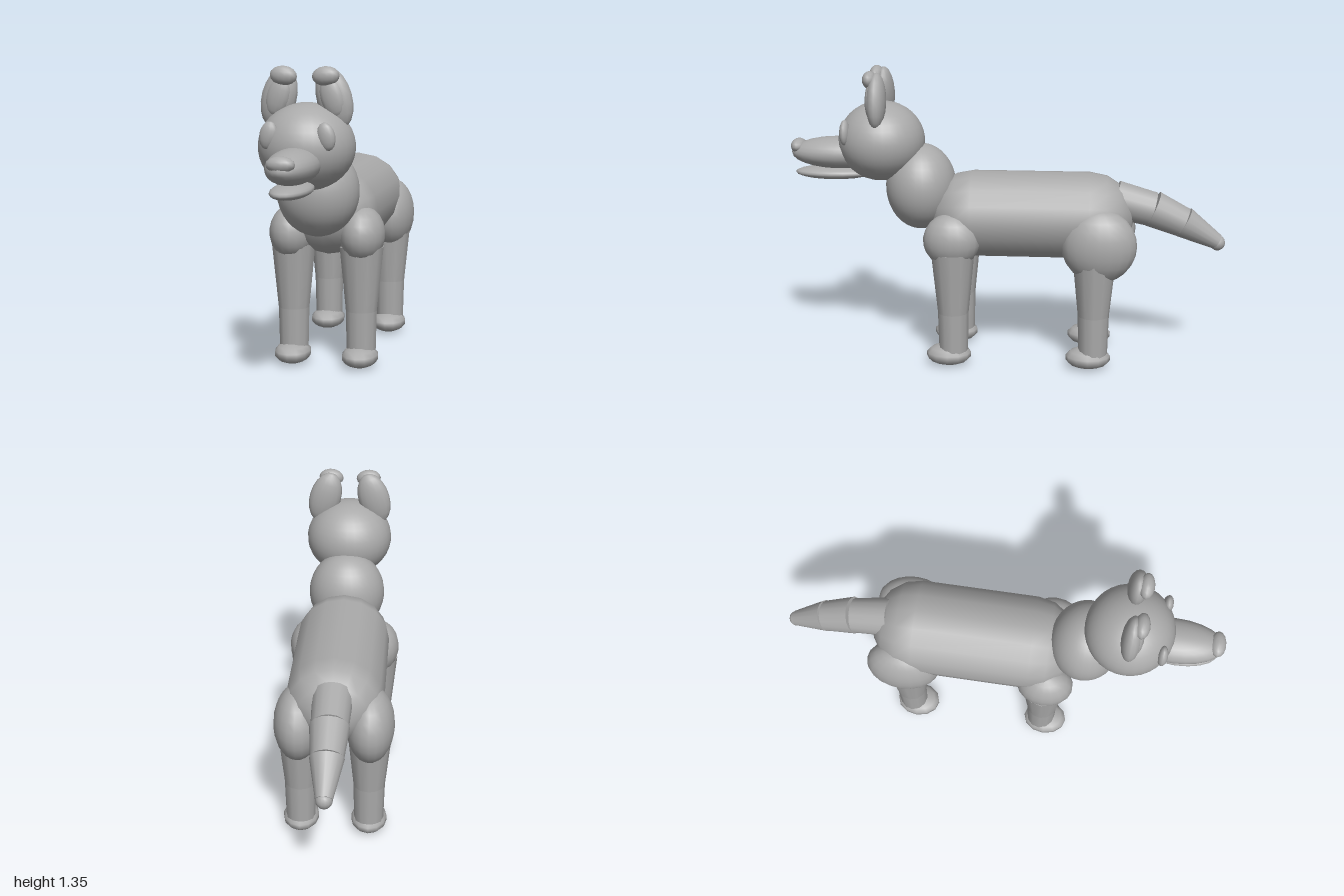
import * as THREE from 'three';

export function createModel() {
  const model = new THREE.Group();
  model.name = 'dog';
  const grey = new THREE.MeshStandardMaterial({ color: 0xaaaaaa });
  grey.name = 'grey';

  function add(name, geometry, position) {
    const mesh = new THREE.Mesh(geometry, grey);
    mesh.name = name;
    mesh.position.set(...position);
    model.add(mesh);
    return mesh;
  }

  // Ellipsoid from centre and the three half sizes
  function ellipsoid(name, position, radii, segments = 32, tiltZ = 0, tiltX = 0) {
    const mesh = add(name, new THREE.SphereGeometry(1, segments, Math.round(segments * 0.6)), position);
    mesh.scale.set(...radii);
    mesh.rotation.set(tiltX, 0, tiltZ);
    return mesh;
  }

  // Tapered round piece between two points
  function taper(name, from, to, rFrom, rTo, segments = 16) {
    const a = new THREE.Vector3(...from), b = new THREE.Vector3(...to);
    const axis = b.clone().sub(a);
    const mid = a.clone().add(b).multiplyScalar(0.5);
    const mesh = add(name, new THREE.CylinderGeometry(rTo, rFrom, axis.length(), segments), mid.toArray());
    mesh.quaternion.setFromUnitVectors(new THREE.Vector3(0, 1, 0), axis.normalize());
    return mesh;
  }

  // Torso: capsule along z with coarse caps
  const torso = add('torso', new THREE.CapsuleGeometry(0.2, 0.52, 4, 16).rotateX(Math.PI / 2), [0, 0.692, -0.11]);
  torso.scale.set(1.075, 0.99, 1.03);

  // Neck and head
  ellipsoid('neck', [0, 0.815, 0.397], [0.18, 0.198, 0.161]);
  ellipsoid('head', [0, 1.025, 0.575], [0.203, 0.182, 0.197]);

  // Muzzle
  ellipsoid('snout', [0, 0.967, 0.775], [0.102, 0.073, 0.22], 24);
  ellipsoid('lowerJaw', [0, 0.874, 0.8], [0.08, 0.031, 0.18], 20);
  ellipsoid('nose', [0, 0.996, 0.962], [0.06, 0.033, 0.035], 14);

  for (const side of [-1, 1]) {
    const label = side > 0 ? 'left' : 'right';

    // Eyes and folded ears
    ellipsoid(label + 'Eye', [side * 0.12, 1.082, 0.722], [0.038, 0.058, 0.023], 14, side * 0.2);
    ellipsoid(label + 'Ear', [side * 0.117, 1.225, 0.575], [0.075, 0.128, 0.044], 16, side * 0.28);
    ellipsoid(label + 'InnerEar', [side * 0.114, 1.23, 0.6], [0.05, 0.086, 0.026], 14, side * 0.28);
    ellipsoid(label + 'EarTip', [side * 0.089, 1.316, 0.607], [0.058, 0.04, 0.033], 14, side * 0.08);

    // Legs
    const x = side * 0.155;
    ellipsoid(label + 'Shoulder', [side * 0.16, 0.603, 0.24], [0.1, 0.125, 0.13], 18);
    ellipsoid(label + 'Haunch', [side * 0.158, 0.59, -0.425], [0.107, 0.17, 0.17], 20);
    for (const [end, z, top] of [['Front', 0.237, 0.55], ['Back', -0.405, 0.55]]) {
      taper(label + end + 'UpperLeg', [x, 0.26, z], [x, top, z], 0.071, 0.1, 12);
      taper(label + end + 'LowerLeg', [x, 0.05, z], [x, 0.26, z], 0.066, 0.071, 12);
      ellipsoid(label + end + 'Foot', [x, 0.054, z + 0.022], [0.083, 0.049, 0.105], 12);
    }
  }

  // Drooping tail in three overlapping pieces
  taper('tailBase', [0, 0.768, -0.495], [0, 0.724, -0.668], 0.088, 0.08);
  taper('tailMiddle', [0, 0.726, -0.668], [0, 0.665, -0.808], 0.085, 0.07);
  taper('tailEnd', [0, 0.666, -0.808], [0, 0.575, -0.965], 0.073, 0.036);
  ellipsoid('tailTip', [0, 0.572, -0.964], [0.036, 0.036, 0.036], 14);

  return model;
}
